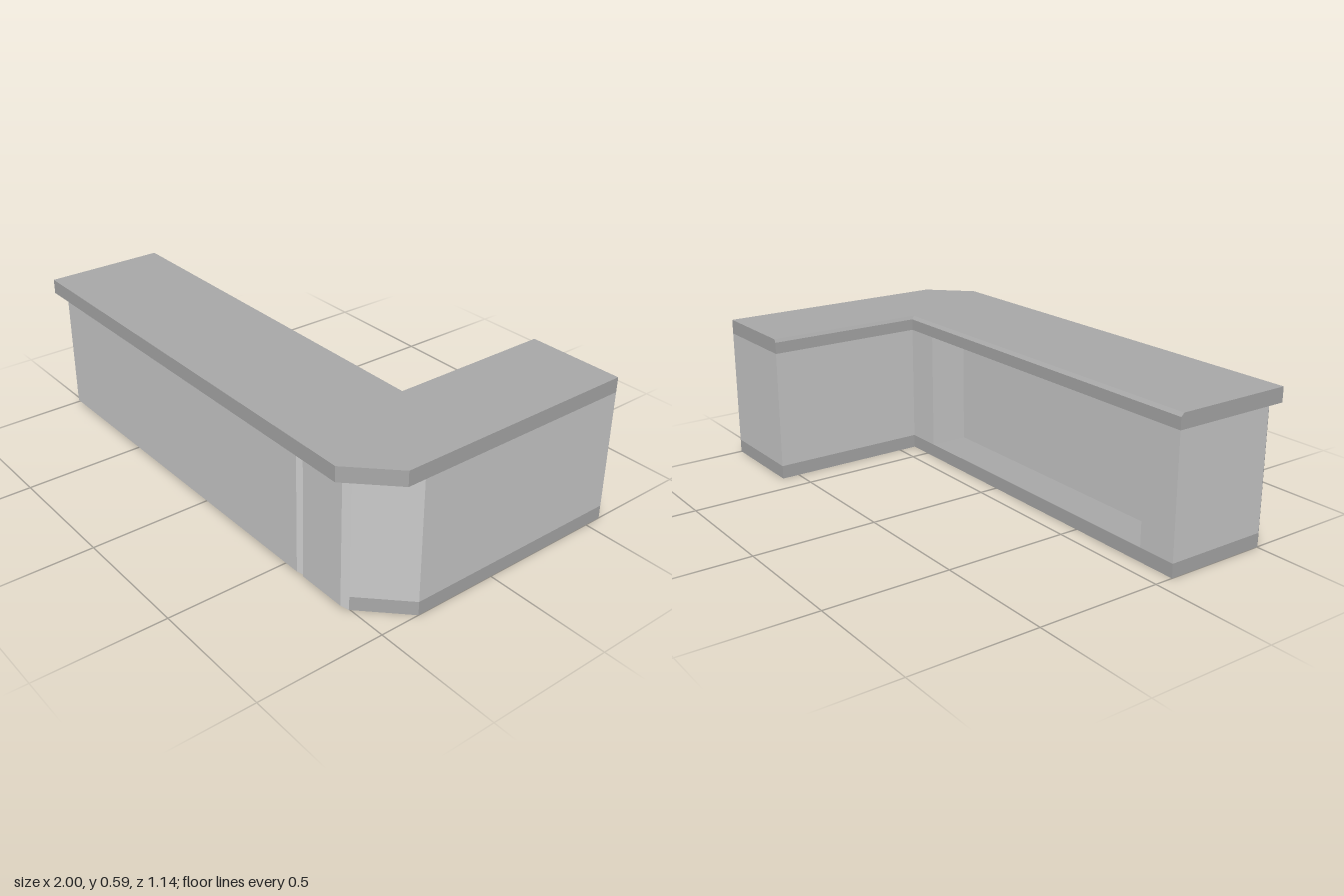
import * as THREE from 'three';

const BACK = 0.075, INNER = 0.602, REAR = -0.572;
const PLINTH = 0.055, UNDER = 0.534, TOP = 0.593, BEVEL = 0.013;

const bodyMat = new THREE.MeshStandardMaterial({ color: 0xcccccc });
const trimMat = new THREE.MeshStandardMaterial({ color: 0xaaaaaa });

// L-shaped plan with a chamfered outer corner; notch adds points along the back edge
function plan(front, chamferX, chamferZ, notch = []) {
  return [
    [-1, front], [chamferX, front], [1, chamferZ], [1, REAR],
    [INNER, REAR], [INNER, BACK], ...notch, [-1, BACK],
  ];
}

// Extrude an (x, z) plan between two heights
function slab(points, y0, y1) {
  const shape = new THREE.Shape(points.map(([x, z]) => new THREE.Vector2(x, z)));
  const geo = new THREE.ExtrudeGeometry(shape, { depth: y1 - y0, bevelEnabled: false });
  geo.rotateX(Math.PI / 2);
  geo.translate(0, y1, 0);
  return geo;
}

// Box whose front face is inset by a bevel
function bevelledPanel(x0, x1, y0, y1, z0, z1, inset) {
  const w = x1 - x0, h = y1 - y0;
  const geo = new THREE.BoxGeometry(w, h, z1 - z0).toNonIndexed();
  const p = geo.attributes.position;
  for (let i = 0; i < p.count; i++) {
    if (p.getZ(i) > 0) {
      p.setX(i, Math.sign(p.getX(i)) * (w / 2 - inset));
      p.setY(i, Math.sign(p.getY(i)) * (h / 2 - inset));
    }
  }
  geo.computeVertexNormals();
  geo.translate((x0 + x1) / 2, (y0 + y1) / 2, (z0 + z1) / 2);
  return geo;
}

export function createModel() {
  const group = new THREE.Group();
  const add = (name, geo, mat) => {
    const mesh = new THREE.Mesh(geo, mat);
    mesh.name = name;
    group.add(mesh);
  };

  // Cabinet with the open storage niche at the back, on a plinth
  const niche = [[0.45, BACK], [0.45, 0.235], [-0.84, 0.235], [-0.84, BACK]];
  add('plinth', slab(plan(0.503, 0.837, 0.34), 0, PLINTH), trimMat);
  add('cabinet', slab(plan(0.503, 0.837, 0.34, niche), PLINTH, UNDER), bodyMat);

  // Bevelled front panels
  add('longFrontPanel', bevelledPanel(-1, 0.6, 0, UNDER, 0.503, 0.526, 0.018), bodyMat);
  add('shortFrontPanel', bevelledPanel(0.6, 0.837, 0, UNDER, 0.503, 0.526, 0.018), bodyMat);

  // Overhanging countertop, its inner edges bevelled along the top
  const counter = plan(0.572, 0.84, 0.412);
  add('countertop', slab(counter, UNDER, TOP - BEVEL), trimMat);
  const cap = slab(counter, TOP - BEVEL, TOP);
  const p = cap.attributes.position;
  for (let i = 0; i < p.count; i++) {
    if (p.getY(i) < TOP - 0.001) continue;
    if (Math.abs(p.getX(i) - INNER) < 0.001) p.setX(i, INNER + 0.007);
    if (Math.abs(p.getZ(i) - BACK) < 0.001) p.setZ(i, BACK + BEVEL);
  }
  cap.computeVertexNormals();
  add('countertopBevel', cap, trimMat);

  return group;
}
